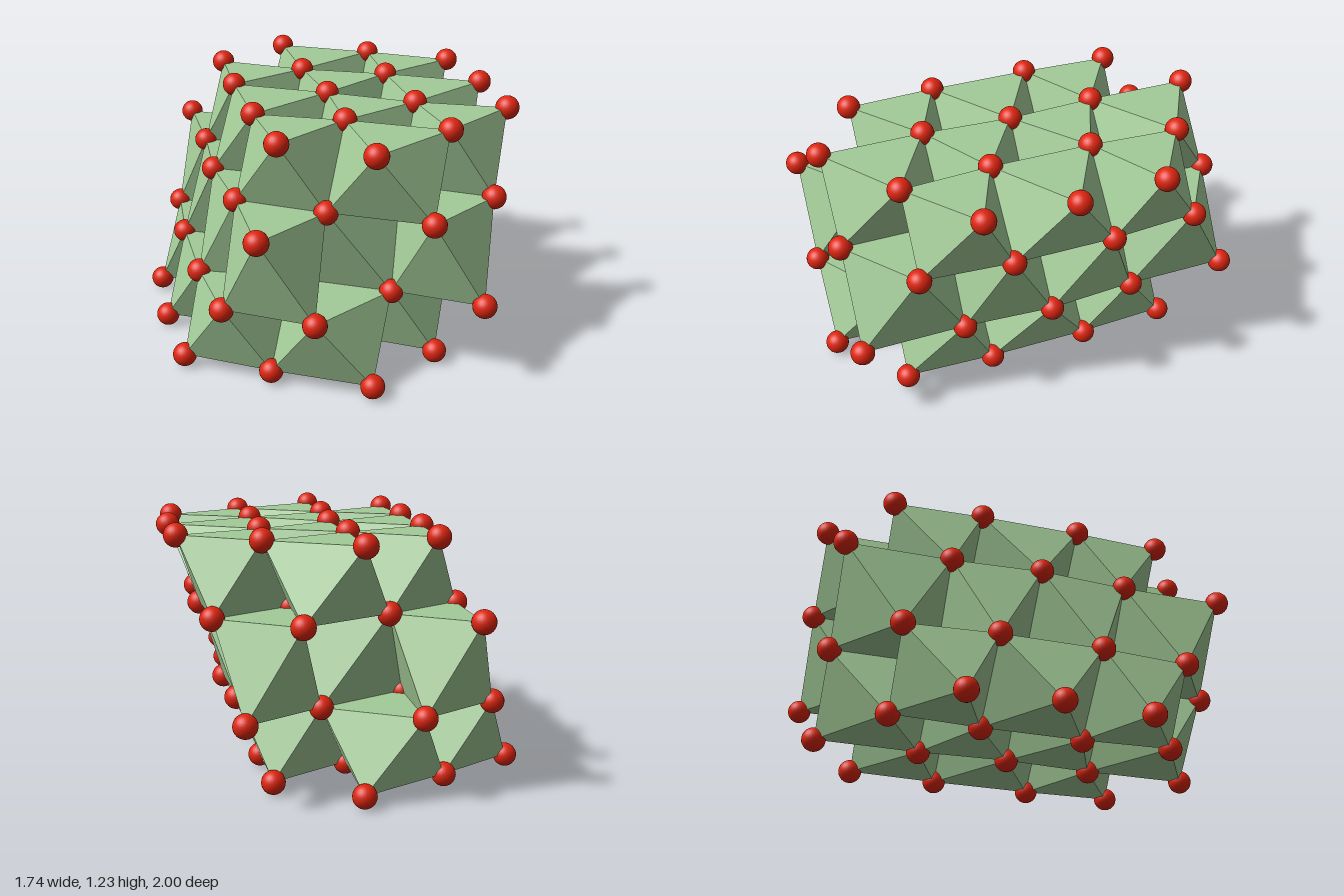
import * as THREE from 'three';
import { ConvexGeometry } from 'three/addons/geometries/ConvexGeometry.js';

const HEIGHT = 1.24;
const RADIUS = 0.057;

// Rows of one atom layer: [z, x positions]; every row is mirrored in z
const topRows = [
  [0, [0.02, 0.815]],
  [0.25, [-0.4, 0.392]],
  [0.438, [-0.005, 0.79]],
  [0.69, [-0.38, 0.42]],
  [0.943, [0]],
];
const upperRows = [
  [0, [-0.556, 0.247]],
  [0.25, [-0.13, 0.68]],
  [0.438, [-0.525, 0.27]],
  [0.69, [-0.157, 0.645]],
  [0.943, [-0.525, 0.27]],
];

function makeLayer(rows, y) {
  const atoms = [];
  for (const [z, xs] of rows)
    for (const s of z ? [1, -1] : [1])
      for (const x of xs) atoms.push(new THREE.Vector3(x, y, s * z));
  return atoms;
}

// The lower half is the upper half turned through the centre
const invert = (layer) => layer.map((p) => new THREE.Vector3(-p.x, HEIGHT - p.y, -p.z));

// Corner sets of all octahedra between two neighbouring layers
function findOctahedra(upper, lower) {
  const found = [];
  for (const apex of upper) {
    const pair = upper.filter((p) => {
      const dx = apex.x - p.x, dz = Math.abs(apex.z - p.z);
      return dx > 0.3 && dx < 0.5 && dz > 0.1 && dz < 0.3;
    });
    if (pair.length !== 2) continue;
    const cx = (apex.x + pair[0].x + pair[1].x) / 3;
    const cz = (apex.z + pair[0].z + pair[1].z) / 3;
    const base = lower.filter((p) => Math.hypot(p.x - cx, p.z - cz) < 0.39);
    if (base.length === 3) found.push([apex, ...pair, ...base]);
  }
  return found;
}

export function createModel() {
  const green = new THREE.MeshStandardMaterial({ color: 0xa3cb98 });
  green.name = 'pale green';
  const red = new THREE.MeshStandardMaterial({ color: 0xdf250f });
  red.name = 'red';

  const top = makeLayer(topRows, 1.178);
  const upper = makeLayer(upperRows, 0.833);
  const layers = [top, upper, invert(upper), invert(top)];

  const model = new THREE.Group();
  model.name = 'crystalLattice';

  // Atoms at every corner
  const atoms = new THREE.Group();
  atoms.name = 'atoms';
  const ball = new THREE.SphereGeometry(RADIUS, 24, 16);
  for (const p of layers.flat()) {
    const atom = new THREE.Mesh(ball, red);
    atom.name = 'atom';
    atom.position.copy(p);
    atoms.add(atom);
  }
  model.add(atoms);

  // Three sheets of edge-sharing octahedra
  for (let i = 0; i < 3; i++) {
    const sheet = new THREE.Group();
    sheet.name = 'octahedronSheet' + (i + 1);
    for (const corners of findOctahedra(layers[i], layers[i + 1])) {
      const octahedron = new THREE.Mesh(new ConvexGeometry(corners), green);
      octahedron.name = 'octahedron';
      sheet.add(octahedron);
    }
    model.add(sheet);
  }
  return model;
}
